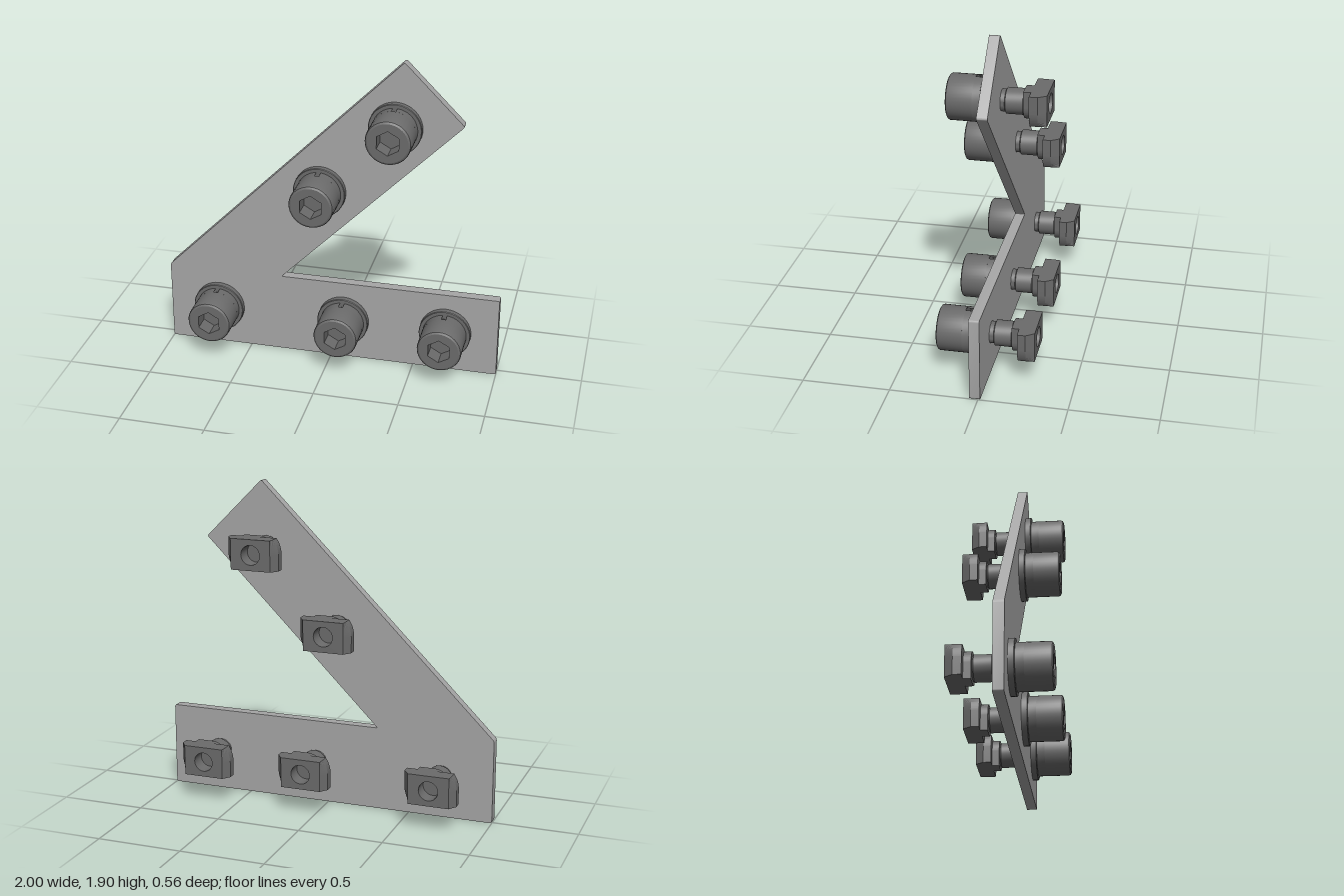
import * as THREE from 'three';
import { toCreasedNormals } from 'three/addons/utils/BufferGeometryUtils.js';

const plateGrey = new THREE.MeshStandardMaterial({ color: 0xa6a6a6 });
const boltGrey = new THREE.MeshStandardMaterial({ color: 0x6b6b6b });
const slotGrey = new THREE.MeshStandardMaterial({ color: 0x6b6b6b, side: THREE.DoubleSide });

const part = (name, geometry, material = boltGrey) => {
  const mesh = new THREE.Mesh(geometry, material);
  mesh.name = name;
  return mesh;
};

// Turned part along z; each point is [radius, z], running from back to front
const turned = (points, sides = 40, start = 0, length = Math.PI * 2) =>
  toCreasedNormals(
    new THREE.LatheGeometry(points.map(([r, z]) => new THREE.Vector2(r, z)), sides, start, length)
      .rotateX(Math.PI / 2), 0.5);

// Polygon with slightly rounded corners
function roundedPolygon(corners, radius) {
  const shape = new THREE.Shape();
  const pts = corners.map(([x, y]) => new THREE.Vector2(x, y));
  pts.forEach((p, i) => {
    const toward = (q) => q.clone().sub(p).setLength(radius).add(p);
    const a = toward(pts[(i + pts.length - 1) % pts.length]);
    const b = toward(pts[(i + 1) % pts.length]);
    if (i) shape.lineTo(a.x, a.y); else shape.moveTo(a.x, a.y);
    shape.quadraticCurveTo(p.x, p.y, b.x, b.y);
  });
  shape.closePath();
  return shape;
}

// Nut outline: a bar with two opposite corners rounded about its centre
function nutOutline(halfWidth, halfHeight) {
  const a = Math.asin(Math.min(1, halfHeight / halfWidth));
  const s = new THREE.Shape();
  s.moveTo(halfWidth, halfHeight);
  s.lineTo(-halfWidth * Math.cos(a), halfHeight);
  s.absarc(0, 0, halfWidth, Math.PI - a, Math.PI, false);
  s.lineTo(-halfWidth, -halfHeight);
  s.lineTo(halfWidth * Math.cos(a), -halfHeight);
  s.absarc(0, 0, halfWidth, -a, 0, false);
  s.closePath();
  return s;
}

function nutWings() {
  const outline = nutOutline(0.153, 0.09);
  outline.holes.push(new THREE.Path().absarc(0, 0, 0.057, 0, Math.PI * 2, true));
  const geo = new THREE.ExtrudeGeometry(outline, {
    depth: 0.093, steps: 2, bevelEnabled: false, curveSegments: 16 });
  geo.translate(0, 0, -0.28);
  // Slope the two ends towards the back
  const pos = geo.attributes.position;
  for (let i = 0; i < pos.count; i++) {
    if (pos.getZ(i) < -0.27) pos.setX(i, THREE.MathUtils.clamp(pos.getX(i), -0.12, 0.12));
  }
  return toCreasedNormals(geo, 0.4);
}

function hexFace() {
  const face = new THREE.Shape().absarc(0, 0, 0.115, 0, Math.PI * 2, false);
  const hex = new THREE.Path();
  for (let i = 0; i < 6; i++) {
    const a = Math.PI / 2 - i * Math.PI / 3;
    const x = 0.072 * Math.cos(a), y = 0.072 * Math.sin(a);
    if (i) hex.lineTo(x, y); else hex.moveTo(x, y);
  }
  hex.closePath();
  face.holes.push(hex);
  return new THREE.ShapeGeometry(face, 20).translate(0, 0, 0.28);
}

function makeBolt() {
  const bolt = new THREE.Group();
  const gap = 0.1;
  bolt.add(
    part('washerFlange', turned([[0, 0.048], [0.153, 0.048], [0.153, 0.08], [0.15, 0.083], [0, 0.083]])),
    // Head, with a small slot at the top of its lower band
    part('headCore', turned([[0.105, 0.083], [0.105, 0.13]])),
    part('headSlottedBand', turned([[0.105, 0.083], [0.13, 0.083], [0.13, 0.13], [0.105, 0.13]],
      40, Math.PI + gap, Math.PI * 2 - 2 * gap), slotGrey),
    part('headBarrel', turned([[0.1, 0.13], [0.13, 0.13], [0.13, 0.265], [0.126, 0.274], [0.115, 0.28]])),
    part('headFace', hexFace()),
    part('hexSocket', turned([[0.072, 0.28], [0.072, 0.18], [0, 0.18]], 6)),
    // Shank and slot nut behind the plate
    part('shank', turned([[0.066, -0.145], [0.073, -0.137], [0.073, -0.042],
      [0.062, -0.036], [0.062, -0.01]])),
    part('nutCollar', toCreasedNormals(new THREE.ExtrudeGeometry(nutOutline(0.09, 0.09),
      { depth: 0.042, bevelEnabled: false, curveSegments: 12 }).translate(0, 0, -0.187), 0.4)),
    part('nutWings', nutWings()),
  );
  return bolt;
}

export function createModel() {
  const model = new THREE.Group();
  model.name = 'angledJoiningPlate';

  // Flat plate with a level arm and a 45 degree arm
  const outline = roundedPolygon([[-1, 0], [1, 0], [1, 0.495], [-0.305, 0.495],
    [0.757, 1.56], [0.412, 1.907], [-1, 0.495]], 0.012);
  const plate = new THREE.ExtrudeGeometry(outline, { depth: 0.06, bevelEnabled: false, curveSegments: 4 });
  model.add(part('plate', toCreasedNormals(plate.translate(0, 0, -0.012), 0.6), plateGrey));

  // Five bolts with nuts
  const spots = [[-0.695, 0.25], [0.075, 0.25], [0.69, 0.25], [-0.066, 1.085], [0.37, 1.52]];
  const bolt = makeBolt();
  spots.forEach(([x, y], i) => {
    const copy = bolt.clone();
    copy.name = `bolt${i + 1}`;
    copy.position.set(x, y, 0);
    model.add(copy);
  });
  return model;
}
